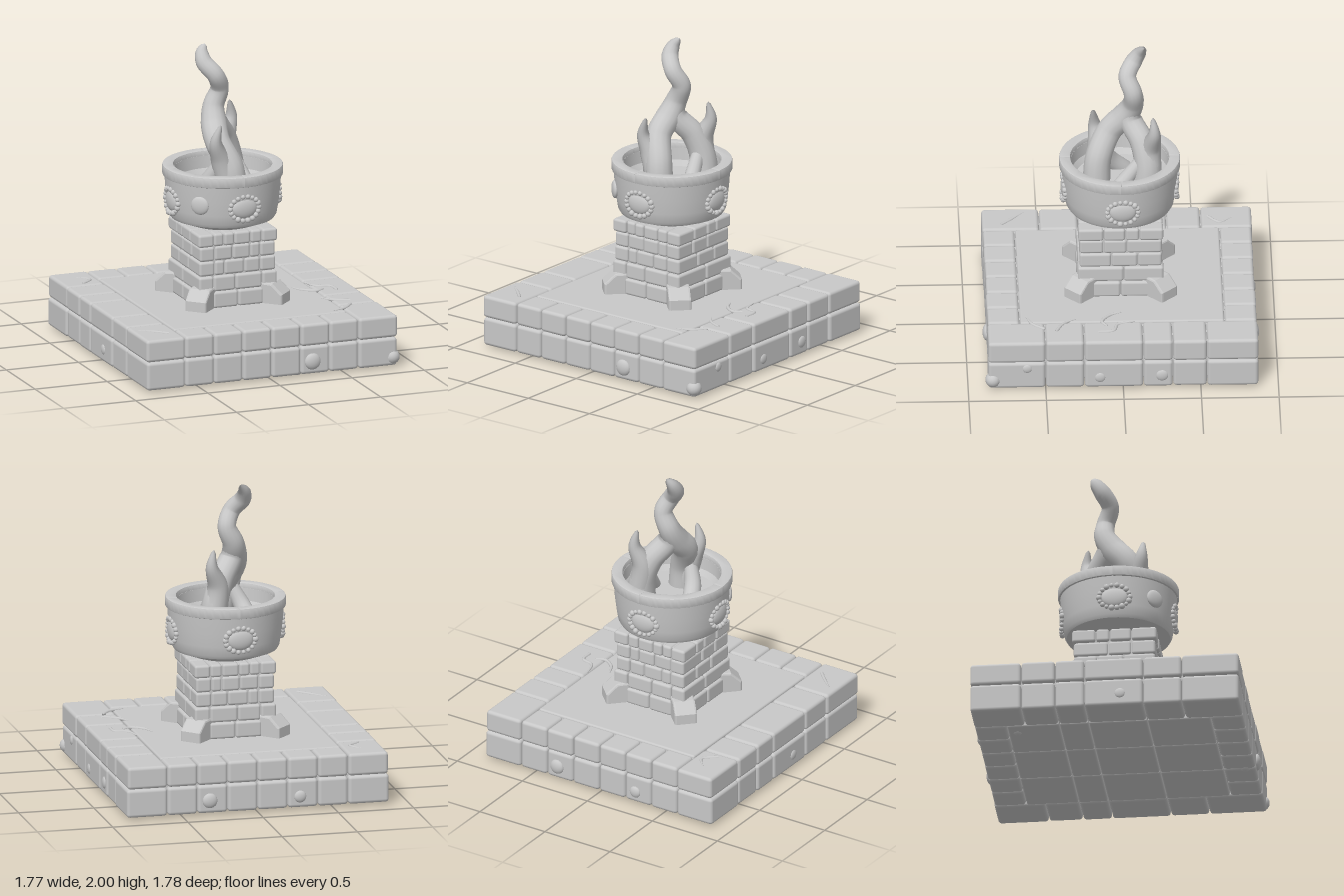
import * as THREE from 'three';
import { toCreasedNormals } from 'three/addons/utils/BufferGeometryUtils.js';
import { RoundedBoxGeometry } from 'three/addons/geometries/RoundedBoxGeometry.js';

const stone = new THREE.MeshStandardMaterial({ color: 0xc8c8c8 });
stone.name = 'stone';

let seed = 7;
const rand = () => (seed = (seed * 16807) % 2147483647) / 2147483647;

function add(parent, name, geo, x = 0, y = 0, z = 0) {
  const m = new THREE.Mesh(geo, stone);
  m.name = name;
  m.position.set(x, y, z);
  parent.add(m);
  return m;
}

function group(parent, name) {
  const g = new THREE.Group();
  g.name = name;
  parent.add(g);
  return g;
}

// Worn block between two corners
function block(parent, name, x0, x1, y0, y1, z0, z1, r) {
  const g = new RoundedBoxGeometry(x1 - x0 - 0.004, y1 - y0 - 0.002, z1 - z0 - 0.004, 2, r);
  return add(parent, name, g, (x0 + x1) / 2, (y0 + y1) / 2, (z0 + z1) / 2);
}

// One square course of blocks: side runs hold the corners, front and back fill between
function course(parent, name, y0, y1, half, inX, inZ, sideJoints, frontJoints, r) {
  const zs = [-half, ...sideJoints, half];
  const xs = [-inX, ...frontJoints, inX];
  for (let i = 0; i < zs.length - 1; i++) {
    const j = rand() * 0.006;
    block(parent, name, inX, half - j, y0, y1, zs[i], zs[i + 1], r);
    block(parent, name, -half + j, -inX, y0, y1, zs[i], zs[i + 1], r);
  }
  for (let i = 0; i < xs.length - 1; i++) {
    const j = rand() * 0.006;
    block(parent, name, xs[i], xs[i + 1], y0, y1, inZ, half - j, r);
    block(parent, name, xs[i], xs[i + 1], y0, y1, -half + j, -inZ, r);
  }
}

// Tapered tongue through points [x, y, z, radius]
function tongue(parent, name, pts) {
  const curve = new THREE.CatmullRomCurve3(pts.map(p => new THREE.Vector3(p[0], p[1], p[2])));
  const n = pts.length * 7, sides = 14;
  const geo = new THREE.TubeGeometry(curve, n, 1, sides);
  const pos = geo.attributes.position, v = new THREE.Vector3();
  for (let i = 0; i <= n; i++) {
    const t = curve.getUtoTmapping(i / n) * (pts.length - 1);
    const k = Math.min(Math.floor(t), pts.length - 2);
    const r = i === n ? 0.0005 : THREE.MathUtils.lerp(pts[k][3], pts[k + 1][3], t - k);
    const c = curve.getPointAt(i / n);
    for (let j = 0; j <= sides; j++) {
      const q = i * (sides + 1) + j;
      v.fromBufferAttribute(pos, q).sub(c).multiplyScalar(r).add(c);
      pos.setXYZ(q, v.x, v.y, v.z);
    }
  }
  add(parent, name, geo);
}

function buildBase(root) {
  const base = group(root, 'base');
  const sideJoints = [-0.54, -0.32, -0.13, 0.25, 0.5];
  const frontJoints = [-0.4, -0.2, 0, 0.2, 0.4];
  course(base, 'lowerEdgeBlock', 0.015, 0.203, 0.872, 0.6, 0.66, sideJoints, frontJoints, 0.022);
  course(base, 'upperEdgeBlock', 0.203, 0.352, 0.872, 0.6, 0.66, sideJoints, frontJoints, 0.022);
  block(base, 'baseCore', -0.82, 0.82, 0.05, 0.33, -0.82, 0.82, 0.02);
  block(base, 'floorSlab', -0.6, 0.6, 0.2, 0.35, -0.66, 0.66, 0.014);
  // Underside paving
  const xs = [-0.6, -0.2, 0.2, 0.6], zs = [-0.66, -0.32, -0.13, 0.25, 0.66];
  for (let i = 0; i < 3; i++)
    for (let j = 0; j < 4; j++)
      block(base, 'undersideTile', xs[i], xs[i + 1], 0.016, 0.12, zs[j], zs[j + 1], 0.014);
  // Chips and lumps along the weathered sides: x, y, z, size
  const chips = [
    [0.28, 0.1, 0.865, 0.055], [0.84, 0.07, 0.84, 0.05], [-0.85, 0.08, 0.8, 0.04],
    [-0.28, 0.09, -0.865, 0.04], [0.32, 0.1, -0.865, 0.05], [0.865, 0.09, 0.15, 0.035],
    [0.865, 0.1, -0.25, 0.04], [-0.865, 0.1, 0.1, 0.035], [0.865, 0.16, 0.62, 0.03],
    [0.2, 0.03, 0.8, 0.032], [-0.5, 0.03, -0.6, 0.03],
  ];
  for (const [x, y, z, s] of chips) {
    const c = add(base, 'chip', new THREE.IcosahedronGeometry(s, 2), x, y, z);
    if (Math.abs(z) > 0.84) c.scale.z = 0.5;
    else if (Math.abs(x) > 0.84) c.scale.x = 0.4;
    if (y < 0.04) c.scale.y = 0.9;
  }
  // Raised cracks in the paving, as runs of x, z
  const cracks = [
    [0.48, 0.0, 0.52, 0.08, 0.6, 0.13, 0.66, 0.1], [0.6, -0.08, 0.64, 0.03, 0.72, 0.06, 0.73, 0.16],
    [0.56, 0.3, 0.62, 0.38, 0.72, 0.43], [0.52, 0.62, 0.62, 0.58, 0.69, 0.5],
    [-0.72, -0.74, -0.66, -0.66, -0.74, -0.58], [-0.82, 0.6, -0.73, 0.68, -0.66, 0.75],
  ];
  for (const c of cracks) {
    const pts = [];
    for (let i = 0; i < c.length; i += 2) pts.push([c[i], 0.35, c[i + 1], i ? 0.011 : 0.003]);
    tongue(base, 'crack', pts);
  }
}

function buildPillar(root) {
  const pillar = group(root, 'pillar');
  block(pillar, 'pillarCore', -0.25, 0.25, 0.34, 0.835, -0.25, 0.25, 0.01);
  // y0, y1, half width, joints
  const rows = [
    [0.345, 0.455, 0.285, [0]],
    [0.455, 0.56, 0.278, [-0.02]],
    [0.56, 0.658, 0.267, [-0.11, 0.06]],
    [0.658, 0.755, 0.267, [-0.04, 0.11]],
    [0.755, 0.842, 0.276, [-0.12, -0.03, 0.11]],
  ];
  for (const [y0, y1, h, joints] of rows)
    course(pillar, 'pillarBrick', y0, y1, h, h - 0.11, h - 0.11, joints, joints.map(j => j * 0.8), 0.017);
  // Sloped diagonal buttress at each corner
  const s = new THREE.Shape();
  [[0.26, 0.345], [0.435, 0.345], [0.435, 0.41], [0.37, 0.47], [0.26, 0.475]]
    .forEach(([x, y], i) => (i ? s.lineTo(x, y) : s.moveTo(x, y)));
  const foot = new THREE.ExtrudeGeometry(s, {
    depth: 0.12, bevelEnabled: true, bevelThickness: 0.014, bevelSize: 0.012, bevelSegments: 2,
  });
  foot.translate(0, 0, -0.06);
  for (let i = 0; i < 4; i++) add(pillar, 'cornerFoot', foot).rotation.y = Math.PI / 4 + i * Math.PI / 2;
}

function buildBowl(root) {
  const bowl = group(root, 'bowl');
  const profile = [
    [0, 0.838], [0.2, 0.838], [0.235, 0.85], [0.335, 0.888], [0.348, 0.91], [0.358, 0.97], [0.369, 1.06],
    [0.377, 1.17], [0.35, 1.2], [0.316, 1.2], [0.31, 1.12], [0.285, 1.085], [0, 1.08],
  ].map(p => new THREE.Vector2(...p));
  add(bowl, 'bowlBody', toCreasedNormals(new THREE.LatheGeometry(profile, 64), 0.5));
  // Rim in four curved stones
  const gap = 0.022, q = Math.PI / 2, b = 0.01;
  const arc = new THREE.Shape();
  arc.absarc(0, 0, 0.39 - b, gap, q - gap, false);
  arc.absarc(0, 0, 0.317 + b, q - gap, gap, true);
  const rim = new THREE.ExtrudeGeometry(arc, {
    depth: 0.05, curveSegments: 18, bevelEnabled: true, bevelThickness: b, bevelSize: b, bevelSegments: 2,
  });
  rim.rotateX(-Math.PI / 2);
  const rimGeo = toCreasedNormals(rim, 0.6);
  for (let i = 0; i < 4; i++) add(bowl, 'rimStone', rimGeo, 0, 1.174, 0).rotation.y = i * q;
  // Medallions: a shallow boss ringed with beads, on the four faces
  const bead = new THREE.SphereGeometry(0.017, 10, 8);
  const boss = new THREE.SphereGeometry(1, 24, 16);
  for (let i = 0; i < 4; i++) {
    const med = group(bowl, 'medallion');
    med.rotation.y = i * q + 0.03;
    add(med, 'medallionBoss', boss, 0, 1.02, 0.355).scale.set(0.085, 0.068, 0.027);
    for (let k = 0; k < 18; k++) {
      const a = k / 18 * Math.PI * 2, x = Math.cos(a) * 0.1;
      add(med, 'bead', bead, x, 1.02 + Math.sin(a) * 0.08, Math.sqrt(0.367 ** 2 - x * x) + 0.003)
        .scale.setScalar(0.8 + rand() * 0.4);
    }
  }
  // Plain stud on the front right shoulder
  const stud = add(bowl, 'stud', boss, -0.262, 1.04, 0.262);
  stud.scale.set(0.062, 0.06, 0.022);
  stud.rotation.y = -Math.PI / 4;
}

function buildFlame(root) {
  const flame = group(root, 'flame');
  tongue(flame, 'mainFlame', [
    [0.02, 1.05, 0.15, 0.09], [0.0, 1.24, 0.135, 0.085], [-0.06, 1.4, 0.06, 0.082], [-0.05, 1.5, -0.03, 0.085],
    [-0.03, 1.6, -0.085, 0.07], [0.012, 1.71, -0.085, 0.06], [-0.03, 1.81, -0.05, 0.057],
    [-0.09, 1.89, -0.095, 0.056], [-0.09, 1.95, -0.135, 0.042], [-0.06, 1.995, -0.16, 0.015],
  ]);
  tongue(flame, 'backLeg', [
    [0.13, 1.05, -0.17, 0.1], [0.11, 1.24, -0.175, 0.085], [0.06, 1.38, -0.14, 0.078],
    [-0.02, 1.5, -0.07, 0.075], [-0.03, 1.6, -0.085, 0.04],
  ]);
  tongue(flame, 'frontLick', [
    [-0.01, 1.1, 0.14, 0.07], [-0.07, 1.3, 0.14, 0.066], [-0.11, 1.42, 0.16, 0.04], [-0.08, 1.535, 0.17, 0.01],
  ]);
  tongue(flame, 'backLick', [
    [0.13, 1.12, -0.19, 0.08], [0.1, 1.34, -0.195, 0.07], [0.145, 1.48, -0.22, 0.04], [0.13, 1.59, -0.21, 0.01],
  ]);
  // Low side roots swirling into the legs
  tongue(flame, 'rightRoot', [[-0.16, 1.05, -0.03, 0.06], [-0.12, 1.15, 0.06, 0.055], [-0.06, 1.28, 0.12, 0.04]]);
  tongue(flame, 'leftRoot', [[0.17, 1.05, 0.05, 0.05], [0.14, 1.15, -0.04, 0.05], [0.11, 1.27, -0.14, 0.04]]);
}

export function createModel() {
  const root = new THREE.Group();
  root.name = 'brazier';
  buildBase(root);
  buildPillar(root);
  buildBowl(root);
  buildFlame(root);
  return root;
}
